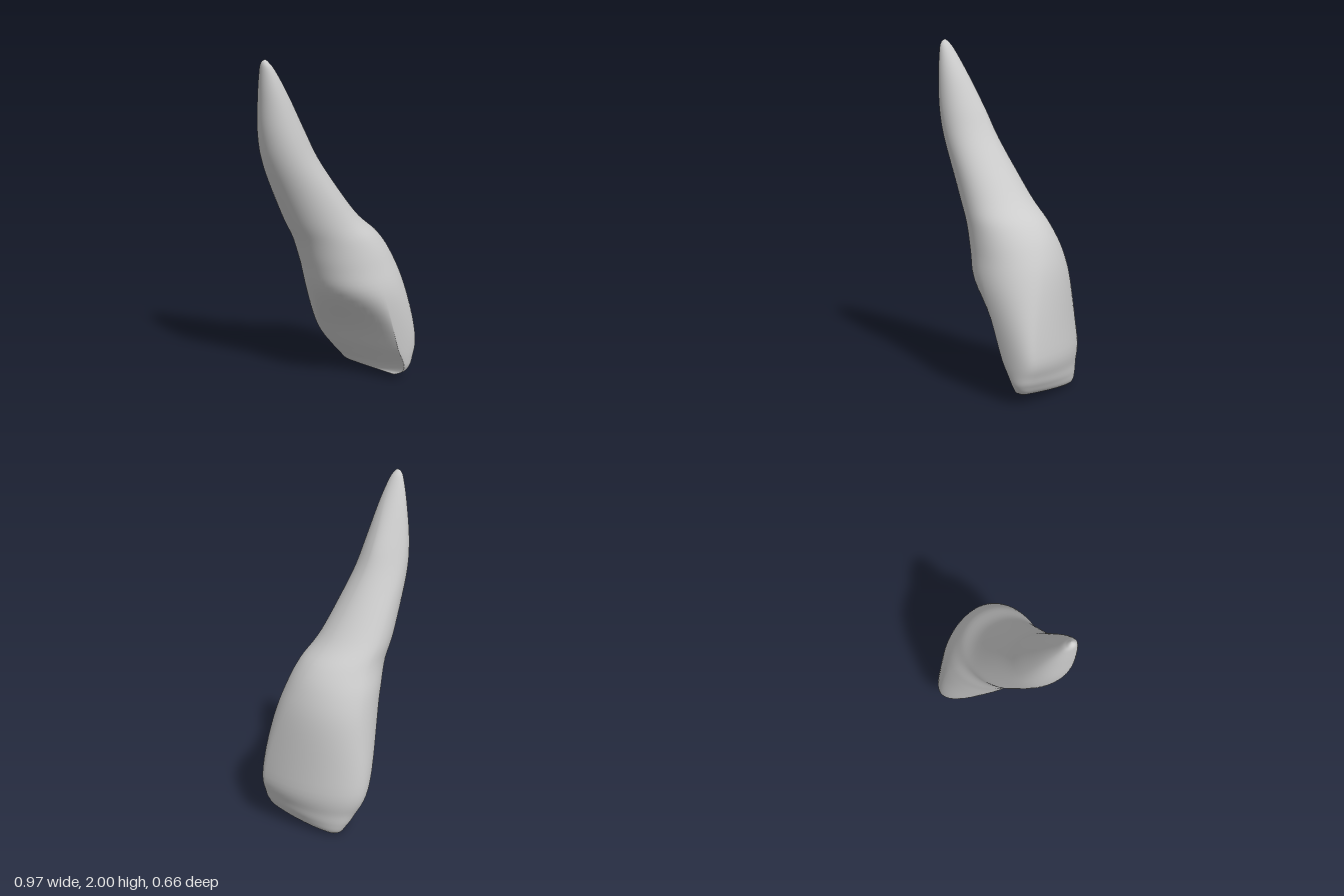
import * as THREE from 'three';

const { lerp, smoothstep, clamp } = THREE.MathUtils;

// Outline from biting edge to root tip: [y, min x, max x, min z, max z]
const OUTLINE = [
  [0.0, 0.28, 0.37, -0.20, 0.22],
  [0.02, 0.255, 0.415, -0.24, 0.26],
  [0.06, 0.225, 0.44, -0.265, 0.285],
  [0.12, 0.175, 0.46, -0.29, 0.298],
  [0.27, 0.07, 0.482, -0.33, 0.312],
  [0.6, -0.10, 0.43, -0.288, 0.33],
  [0.8, -0.17, 0.37, -0.25, 0.30],
  [0.95, -0.225, 0.28, -0.205, 0.273],
  [1.1, -0.30, 0.12, -0.178, 0.245],
  [1.4, -0.43, -0.10, -0.11, 0.22],
  [1.6, -0.477, -0.21, -0.06, 0.205],
  [1.8, -0.486, -0.32, 0.0, 0.18],
  [1.94, -0.485, -0.405, 0.055, 0.153],
  [1.985, -0.48, -0.44, 0.085, 0.133],
  [2.0, -0.465, -0.455, 0.105, 0.115],
];
// Bluntness of the four quarters (east-front, front-west, west-back, back-east):
// below 1 is squarer, 2 is a straight flank. Blended from crown to root.
const CROWN = [0.85, 1.85, 1.0, 1.15];
const ROOT = [0.95, 1.0, 1.0, 1.08];
const SUB = 6, QUARTER = 20, AROUND = QUARTER * 4;

// Smooth interpolation of a whole outline row
function outlineAt(t) {
  const i = Math.min(Math.floor(t), OUTLINE.length - 2), f = t - i;
  const row = (k) => OUTLINE[clamp(k, 0, OUTLINE.length - 1)];
  const [a, b, c, d] = [row(i - 1), row(i), row(i + 1), row(i + 2)];
  return b.map((v, k) => v + 0.5 * f * (c[k] - a[k]
    + f * (2 * a[k] - 5 * v + 4 * c[k] - d[k] + f * (3 * (v - c[k]) + d[k] - a[k]))));
}

// The four extreme points of a section; the biting edge runs askew and the root untwists
function extremes([y, x0, x1, z0, z1]) {
  const frontX = lerp(0.68, 0.54, smoothstep(y, 0, 0.25)) - 0.08 * smoothstep(y, 1.2, 1.6);
  const backX = lerp(0.2, 0.52, smoothstep(y, 0, 0.75)) - 0.08 * smoothstep(y, 1.2, 1.6);
  const eastZ = lerp(lerp(0.21, 0.035, smoothstep(y, 0.25, 1)), 0.11, smoothstep(y, 1.5, 2));
  const westZ = lerp(lerp(-0.18, 0.03, smoothstep(y, 0.2, 0.75)), 0.11, smoothstep(y, 0.9, 2));
  return [[x1, eastZ], [lerp(x0, x1, frontX), z1], [x0, westZ], [lerp(x0, x1, backX), z0]];
}

// Points of one section, quarter by quarter
function ring(outline) {
  const y = outline[0], corners = extremes(outline), points = [];
  for (let j = 0; j < AROUND; j++) {
    const q = Math.floor(j / QUARTER), angle = (j % QUARTER) / QUARTER * Math.PI / 2;
    const [x0, z0] = corners[q], [x1, z1] = corners[(q + 1) % 4];
    const p = lerp(CROWN[q], ROOT[q], smoothstep(y, 0.3, 0.7));
    const c = 1 - Math.cos(angle) ** p, s = Math.sin(angle) ** p;
    const x = lerp(x0, x1, q % 2 ? s : c), z = lerp(z0, z1, q % 2 ? c : s);
    // The biting edge rises slightly towards the front
    const rise = 0.045 * clamp((z + 0.2) / 0.45, 0, 1) * (1 - smoothstep(y, 0, 0.35));
    points.push(x, y + rise, z);
  }
  return points;
}

function toothGeometry() {
  const positions = [], index = [];
  const rings = (OUTLINE.length - 1) * SUB + 1;
  for (let i = 0; i < rings; i++) positions.push(...ring(outlineAt(i / SUB)));
  // End points that close the biting edge and the root tip
  const last = (rings - 1) * AROUND, low = rings * AROUND;
  positions.push(0.33, 0.02, 0.01, -0.46, 2.0, 0.11);
  for (let j = 0; j < AROUND; j++) {
    const k = (j + 1) % AROUND;
    for (let a = 0; a < last; a += AROUND) {
      index.push(a + j, a + AROUND + j, a + k, a + k, a + AROUND + j, a + AROUND + k);
    }
    index.push(low, j, k, low + 1, last + k, last + j);
  }
  const geometry = new THREE.BufferGeometry();
  geometry.setAttribute('position', new THREE.Float32BufferAttribute(positions, 3));
  geometry.setIndex(index);
  geometry.computeVertexNormals();
  return geometry;
}

export function createModel() {
  const group = new THREE.Group();
  group.name = 'incisorTooth';
  // Crown and root as one continuous surface
  const tooth = new THREE.Mesh(toothGeometry(), new THREE.MeshStandardMaterial({ color: 0xcccccc }));
  tooth.name = 'crownAndRoot';
  group.add(tooth);
  return group;
}
